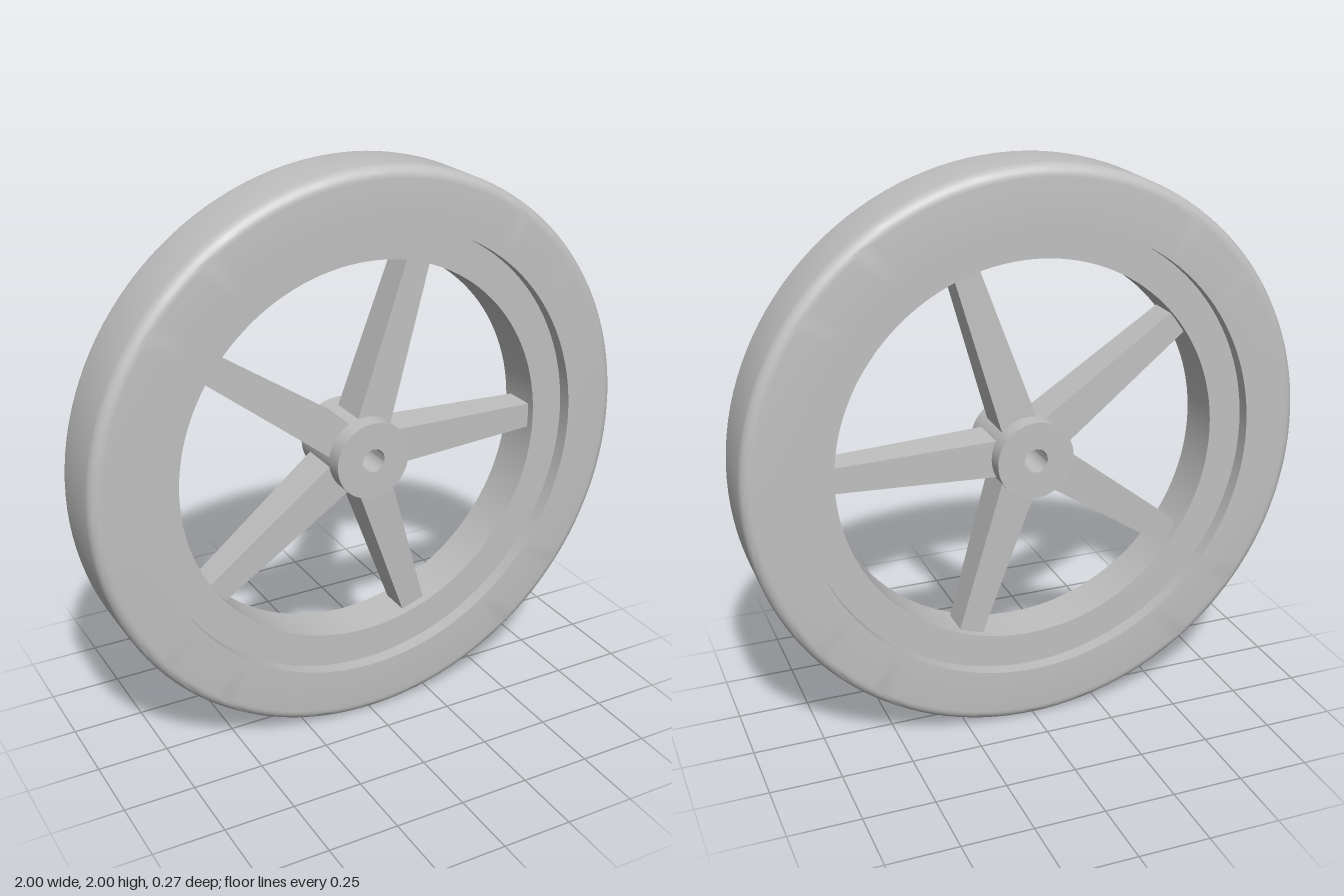
import * as THREE from 'three';
import { toCreasedNormals } from 'three/addons/utils/BufferGeometryUtils.js';

const HALF_WIDTH = 0.135;

// Ring around the z axis, with its outer edges rounded by `round`
function ring(inner, outer, half, round, segments) {
  const profile = [];
  if (round > 0) {
    for (const side of [-1, 1]) {
      for (let i = 0; i <= 6; i++) {
        const a = (side < 0 ? -Math.PI / 2 : 0) + (i / 6) * (Math.PI / 2);
        profile.push(new THREE.Vector2(
          outer - round + Math.cos(a) * round,
          side * (half - round) + Math.sin(a) * round));
      }
    }
  } else {
    profile.push(new THREE.Vector2(outer, -half), new THREE.Vector2(outer, half));
  }
  profile.push(new THREE.Vector2(inner, half), new THREE.Vector2(inner, -half), profile[0].clone());
  const geometry = new THREE.LatheGeometry(profile, segments);
  geometry.rotateX(Math.PI / 2);
  return toCreasedNormals(geometry, 0.6);
}

// Bar along +x that narrows in width and depth towards the rim
function spokeGeometry() {
  const start = 0.1, end = 0.686;
  const geometry = new THREE.BoxGeometry(1, 2, 2);
  const p = geometry.attributes.position;
  for (let i = 0; i < p.count; i++) {
    const t = p.getX(i) + 0.5;
    p.setXYZ(i,
      THREE.MathUtils.lerp(start, end, t),
      p.getY(i) * THREE.MathUtils.lerp(0.066, 0.045, t),
      p.getZ(i) * THREE.MathUtils.lerp(0.073, 0.055, t));
  }
  geometry.computeVertexNormals();
  return geometry;
}

export function createModel() {
  const grey = new THREE.MeshStandardMaterial({ name: 'grey', color: 0xc0c0c0 });
  const model = new THREE.Group();
  model.name = 'wheel';

  function add(name, geometry) {
    const mesh = new THREE.Mesh(geometry, grey);
    mesh.name = name;
    mesh.position.y = 1;
    model.add(mesh);
    return mesh;
  }

  // Tyre with rounded shoulders, and the recessed rim inside it
  add('tyre', ring(0.805, 1, HALF_WIDTH, 0.04, 128));
  add('rim', ring(0.685, 0.806, 0.085, 0, 128));

  // Hub with an axle hole
  add('hub', ring(0.042, 0.137, HALF_WIDTH, 0, 64));

  // Five tapered spokes
  const spoke = spokeGeometry();
  for (let i = 0; i < 5; i++) {
    add('spoke' + (i + 1), spoke).rotation.z = (i / 5) * Math.PI * 2;
  }

  return model;
}
